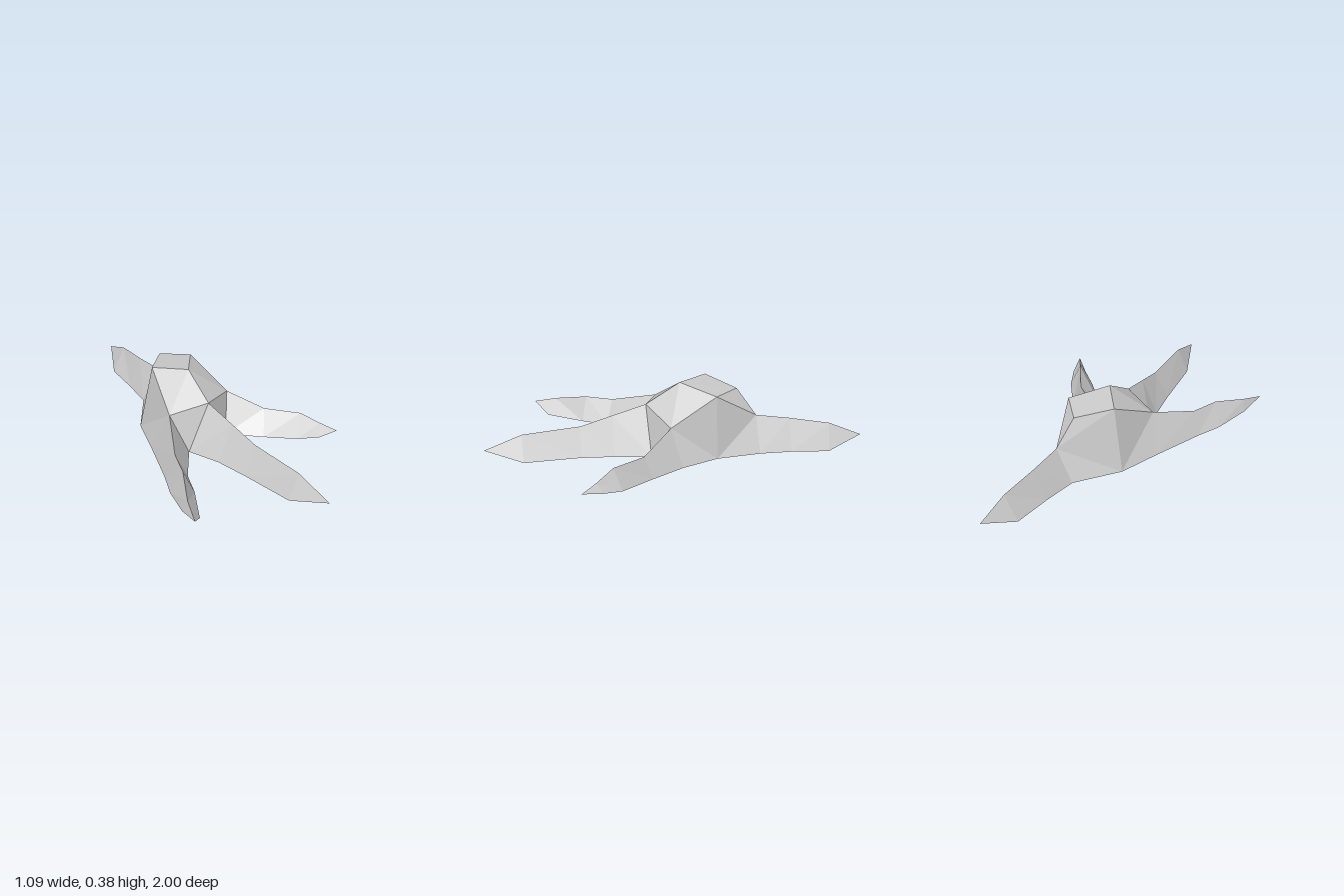
import * as THREE from 'three';

const material = new THREE.MeshStandardMaterial({ color: 0xcccccc, flatShading: true });

// Faceted mesh from convex polygons, each a list of [x, y, z] corners
function facets(name, polygons) {
  const pos = [];
  for (const p of polygons)
    for (let i = 1; i < p.length - 1; i++) pos.push(...p[0], ...p[i], ...p[i + 1]);
  const geo = new THREE.BufferGeometry();
  geo.setAttribute('position', new THREE.Float32BufferAttribute(pos, 3));
  geo.computeVertexNormals();
  const mesh = new THREE.Mesh(geo, material);
  mesh.name = name;
  return mesh;
}

// Ridged toe: triangular sections [right foot, ridge, left foot], closing in a point
function toe(name, sections, tip) {
  const faces = [];
  for (let i = 0; i < sections.length - 1; i++) {
    const [a0, r0, b0] = sections[i], [a1, r1, b1] = sections[i + 1];
    faces.push([a0, a1, r1, r0], [b0, r0, r1, b1], [a0, b0, b1, a1]);
  }
  const [a, r, b] = sections[sections.length - 1];
  faces.push([a, tip, r], [b, r, tip], [a, b, tip]);
  return facets(name, faces);
}

export function createModel() {
  const group = new THREE.Group();
  group.name = 'clawedFoot';

  // Ankle top
  const topF = [0, 0.38, -0.04], topL = [0.148, 0.35, -0.21];
  const topB = [0.035, 0.34, -0.34], topR = [-0.12, 0.365, -0.2];
  // Ridge starts of the four toes
  const front = [-0.01, 0.262, 0.14], left = [0.2, 0.215, 0.04];
  const back = [0.08, 0.195, -0.44], right = [-0.205, 0.222, 0.06];
  // Ground outline
  const inL = [0.12, 0.015, 0.13], inR = [-0.147, 0.02, 0.15];
  const outL = [0.27, 0.015, -0.01], outR = [-0.27, 0.015, -0.02];
  const sideL = [0.195, 0.012, -0.21], sideR = [-0.185, 0.012, -0.23];
  const backL = [0.165, 0.005, -0.45], backR = [-0.01, 0.01, -0.44];

  group.add(facets('footBody', [
    [topF, topL, topB, topR],
    // front
    [topF, front, left], [topF, left, topL], [topF, right, front], [topF, topR, right],
    [front, inL, left], [front, right, inR],
    // left side
    [topL, left, sideL], [left, outL, sideL], [topL, sideL, back], [sideL, backL, back], [topL, back, topB],
    // right side
    [topR, sideR, right], [right, sideR, outR], [topR, back, sideR], [sideR, back, backR], [topR, topB, back],
    // sole
    [inR, outR, sideR, backR, backL, sideL, outL, inL],
  ]));

  group.add(toe('middleToe', [
    [inR, front, inL],
    [[-0.09, 0.02, 0.32], [0.0, 0.215, 0.32], [0.09, 0.015, 0.32]],
    [[-0.065, 0.02, 0.5], [0.01, 0.17, 0.49], [0.08, 0.02, 0.5]],
    [[-0.037, 0.022, 0.8], [0.025, 0.155, 0.8], [0.09, 0.022, 0.8]],
  ], [0.037, 0.085, 1]));

  group.add(toe('leftToe', [
    [inL, left, outL],
    [[0.26, 0.015, 0.28], [0.33, 0.132, 0.2], [0.36, 0.015, 0.16]],
    [[0.385, 0.018, 0.41], [0.437, 0.142, 0.37], [0.48, 0.03, 0.33]],
    [[0.475, 0.03, 0.485], [0.497, 0.1, 0.46], [0.522, 0.05, 0.43]],
  ], [0.547, 0.072, 0.54]));

  group.add(toe('rightToe', [
    [outR, right, inR],
    [[-0.385, 0.018, 0.25], [-0.34, 0.148, 0.28], [-0.29, 0.018, 0.32]],
    [[-0.45, 0.02, 0.38], [-0.4, 0.148, 0.42], [-0.35, 0.02, 0.45]],
    [[-0.515, 0.04, 0.56], [-0.5, 0.105, 0.585], [-0.465, 0.02, 0.635]],
  ], [-0.547, 0.073, 0.7]));

  group.add(toe('hindToe', [
    [backL, back, backR],
    [[0.17, 0.004, -0.62], [0.1, 0.172, -0.62], [0.027, 0.008, -0.62]],
    [[0.19, 0, -0.82], [0.135, 0.142, -0.83], [0.06, 0.005, -0.83]],
  ], [0.16, 0.072, -1]));

  return group;
}
